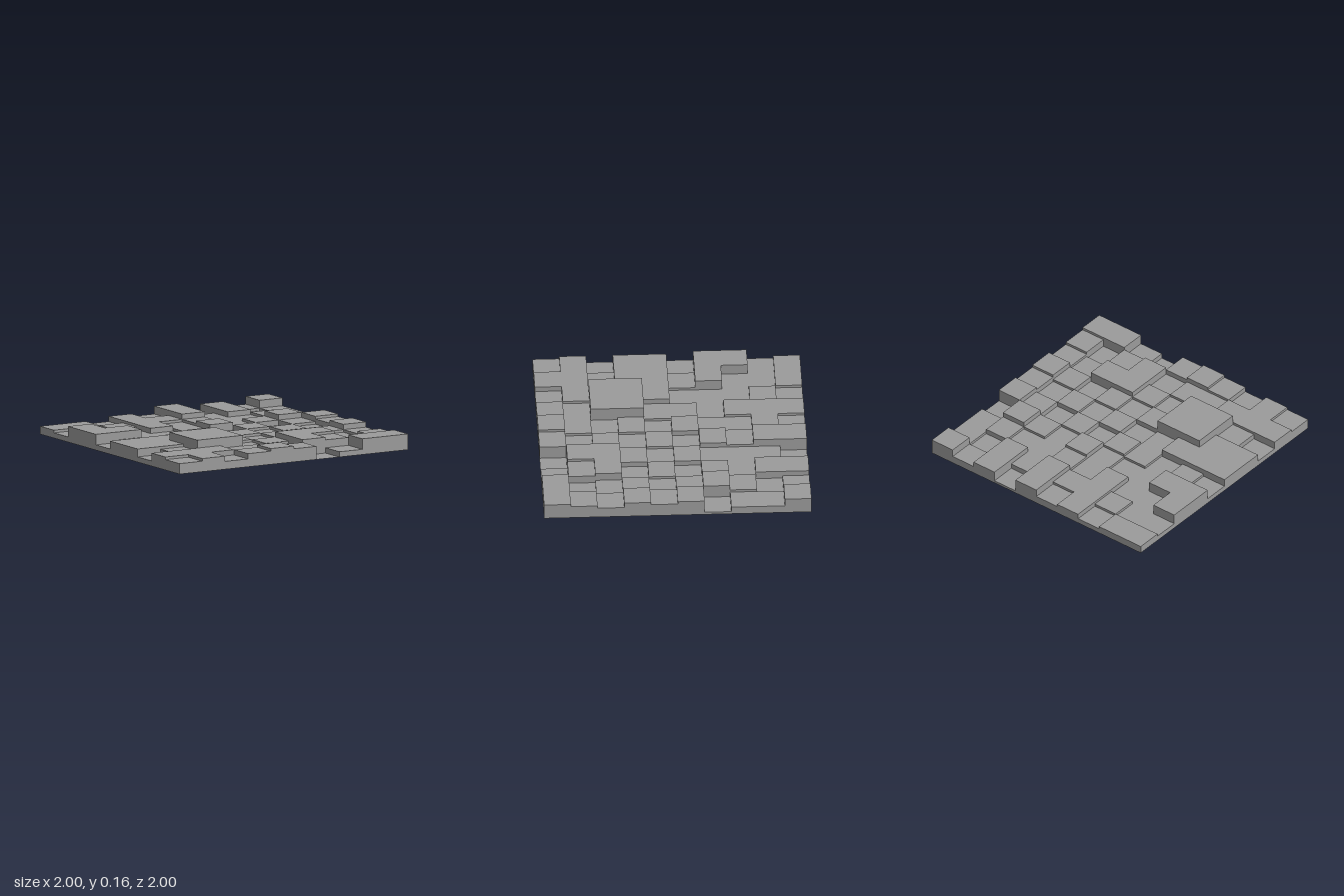
import * as THREE from 'three';
import { mergeGeometries } from 'three/addons/utils/BufferGeometryUtils.js';

const CELL = 0.2, STEP = 0.02, N = 10;

// Terrace heights in steps; rows run back to front, columns from -x to +x
const HEIGHTS = [
  '3324361536',
  '2234463523',
  '6224343343',
  '6622353461',
  '2323424246',
  '5553243435',
  '5588434246',
  '2488346634',
  '5554436525',
  '4535650266',
];

const levelAt = (col, row) =>
  col < 0 || row < 0 || col >= N || row >= N ? 0 : Number(HEIGHTS[row][col]) * STEP;

export function createModel() {
  const model = new THREE.Group();
  const material = new THREE.MeshStandardMaterial({
    color: 0x9b9b9b, flatShading: true, side: THREE.DoubleSide,
  });
  const tops = [], risers = [];

  // Vertical step along a cell border, facing the lower side
  const addRiser = (x, z, here, next, angle) => {
    const rise = Math.abs(here - next);
    if (rise < 1e-6) return;
    risers.push(new THREE.PlaneGeometry(CELL, rise)
      .rotateY(angle + (here > next ? 0 : Math.PI))
      .translate(x, (here + next) / 2, z));
  };

  for (let row = -1; row < N; row++) {
    for (let col = -1; col < N; col++) {
      const x = (col + 0.5) * CELL - 1, z = (row + 0.5) * CELL - 1;
      const here = levelAt(col, row);
      // Flat top of the cell
      if (row >= 0 && col >= 0) {
        tops.push(new THREE.PlaneGeometry(CELL, CELL).rotateX(-Math.PI / 2).translate(x, here, z));
      }
      // Steps to the neighbours on +x and +z, including the outer rim
      addRiser(x + CELL / 2, z, here, levelAt(col + 1, row), Math.PI / 2);
      addRiser(x, z + CELL / 2, here, levelAt(col, row + 1), 0);
    }
  }

  // Hollow shell, open underneath
  for (const [name, parts] of [['terraceTops', tops], ['terraceWalls', risers]]) {
    const mesh = new THREE.Mesh(mergeGeometries(parts), material);
    mesh.name = name;
    model.add(mesh);
  }
  model.name = 'terracedTile';
  return model;
}
